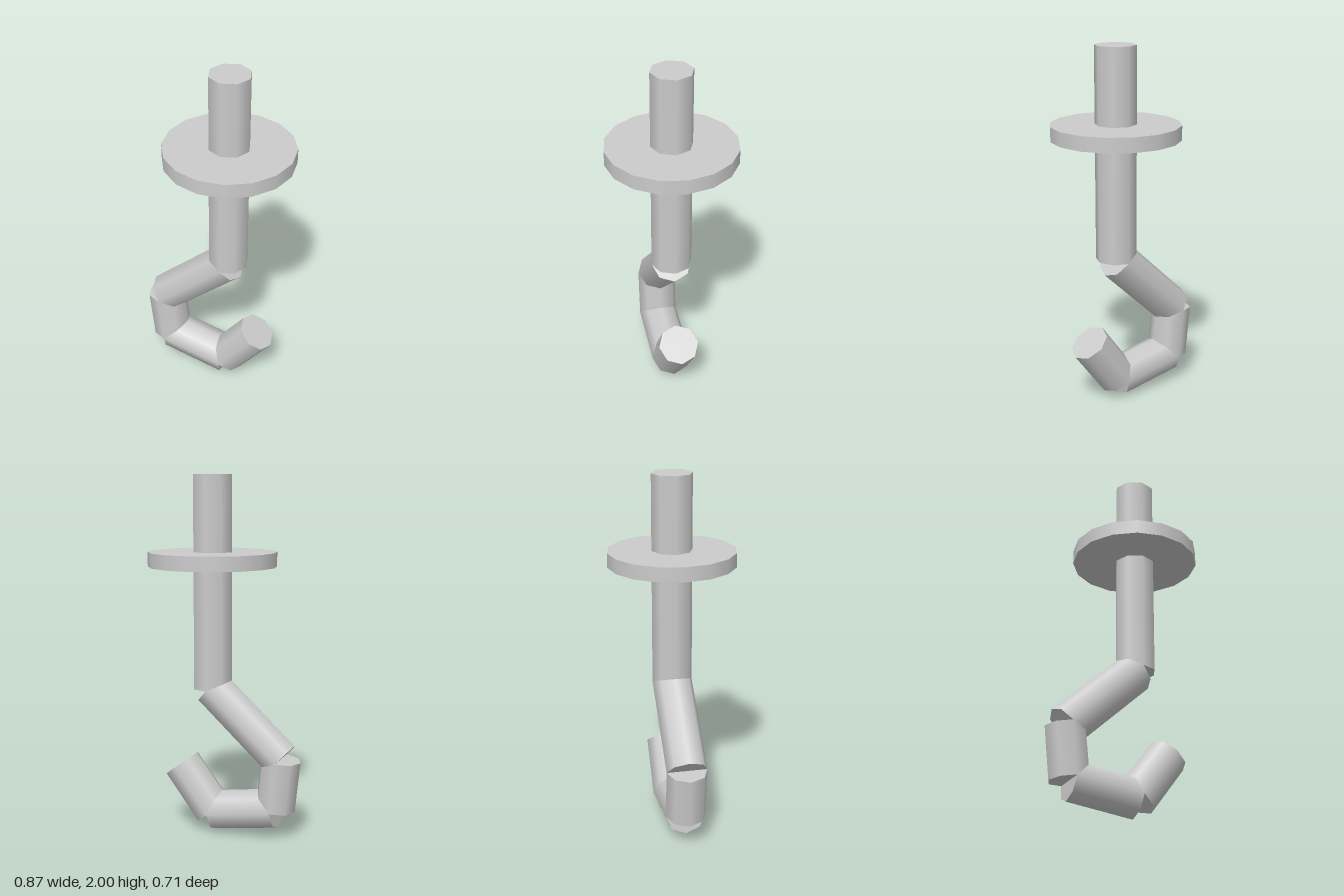
import * as THREE from 'three';

const RADIUS = 0.113;
const material = new THREE.MeshStandardMaterial({ color: 0xcccccc });

// Straight eight-sided rod between two points in the z = 0 plane
function rod(name, [x1, y1], [x2, y2]) {
  const length = Math.hypot(x2 - x1, y2 - y1);
  const mesh = new THREE.Mesh(new THREE.CylinderGeometry(RADIUS, RADIUS, length, 8), material);
  mesh.name = name;
  mesh.position.set((x1 + x2) / 2, (y1 + y2) / 2, 0);
  mesh.rotation.z = Math.atan2(y2 - y1, x2 - x1) - Math.PI / 2;
  return mesh;
}

export function createModel() {
  const group = new THREE.Group();
  group.name = 'hook';

  // Shaft followed by the bent hook, joint by joint
  const joints = [[0.08, 2], [0.08, 0.825], [-0.323, 0.451], [-0.293, 0.165], [0.077, 0.113], [0.27, 0.37]];
  const names = ['shaft', 'upperBend', 'hookBack', 'hookBottom', 'hookTip'];
  names.forEach((name, i) => group.add(rod(name, joints[i + 1], joints[i])));

  // Guard disc around the shaft
  const disc = new THREE.Mesh(new THREE.CylinderGeometry(0.354, 0.354, 0.08, 16), material);
  disc.name = 'guardDisc';
  disc.position.set(0.08, 1.543, 0);
  group.add(disc);

  return group;
}
